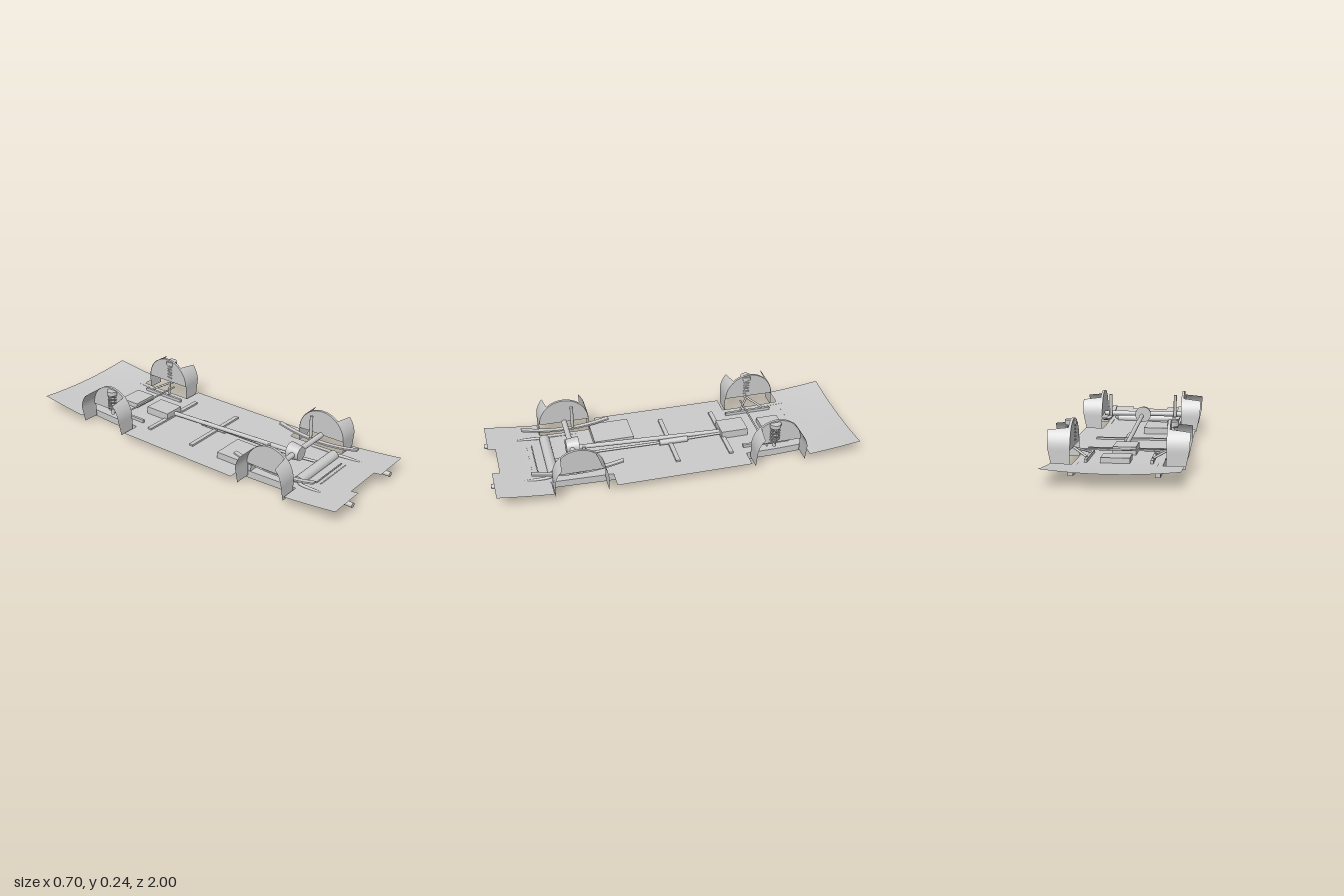
import * as THREE from 'three';

const mat = new THREE.MeshStandardMaterial({ color: 0xcccccc });
const sheet = new THREE.MeshStandardMaterial({ color: 0xcccccc, side: THREE.DoubleSide });
const V = (x, y, z) => new THREE.Vector3(x, y, z);

export function createModel() {
  const root = new THREE.Group();
  const add = (name, geo, m = mat) => {
    const mesh = new THREE.Mesh(geo, m);
    mesh.name = name;
    root.add(mesh);
    return mesh;
  };
  // box given by its limits on each axis
  const box = (name, x0, x1, y0, y1, z0, z1) =>
    add(name, new THREE.BoxGeometry(x1 - x0, y1 - y0, z1 - z0))
      .position.set((x0 + x1) / 2, (y0 + y1) / 2, (z0 + z1) / 2);
  // round bar between two points
  const rod = (name, a, b, r0, r1 = r0, n = 20) => {
    const d = b.clone().sub(a);
    const mesh = add(name, new THREE.CylinderGeometry(r1, r0, d.length(), n));
    mesh.position.copy(a).add(b).multiplyScalar(0.5);
    mesh.quaternion.setFromUnitVectors(V(0, 1, 0), d.normalize());
  };
  const pipe = (name, pts, r) =>
    add(name, new THREE.TubeGeometry(new THREE.CatmullRomCurve3(pts, false, 'centripetal'), 32, r, 12), sheet);
  // side profile of [z, y] points, extruded across x
  const profile = (name, pts, x, w) => {
    const s = new THREE.Shape(pts.map(([z, y]) => new THREE.Vector2(-z, y)));
    const g = new THREE.ExtrudeGeometry(s, { depth: w, bevelEnabled: false });
    g.translate(0, 0, -w / 2).rotateY(Math.PI / 2);
    add(name, g).position.x = x;
  };

  // floor pan: flat middle, ends sweeping up, bowed at the -z end
  const floorY = (x, z) => {
    const t = Math.max(0, (Math.abs(z) - 0.6) / 0.4);
    const bow = z < 0 ? 0.018 * t * (1 - (x / 0.325) ** 2) : 0;
    return 0.043 + 0.039 * t ** 1.4 - bow;
  };
  const W = 0.325, N = 0.22;
  const panels = [
    [-W, W, -1, -0.71], [-N, N, -0.71, -0.38], [-W, W, -0.38, 0.36],
    [-N, N, 0.36, 0.69], [-W, W, 0.69, 0.945],
    [-W, -0.11, 0.945, 0.985], [0.11, W, 0.945, 0.985],
  ];
  for (const [x0, x1, z0, z1] of panels) {
    const g = new THREE.PlaneGeometry(x1 - x0, z1 - z0, 12, 10).rotateX(-Math.PI / 2);
    g.translate((x0 + x1) / 2, 0, (z0 + z1) / 2);
    const p = g.attributes.position;
    for (let i = 0; i < p.count; i++) p.setY(i, floorY(p.getX(i), p.getZ(i)));
    g.computeVertexNormals();
    add('floorPan', g, sheet);
  }
  for (const z of [0.745, 0.77]) box('floorRib', -0.12, 0.12, 0.048, 0.058, z, z + 0.006);

  // cross members, tank, gearbox, oil pan
  for (const z of [-0.3, 0]) box('crossMember', -0.205, 0.205, 0.032, 0.053, z - 0.012, z + 0.012);
  box('fuelTank', -0.218, -0.038, 0.034, 0.078, 0.19, 0.41);
  box('gearbox', -0.063, 0.057, 0.035, 0.085, -0.44, -0.29);
  box('oilPan', -0.055, 0.09, 0.035, 0.07, -0.65, -0.53);

  // live axle, differential, drive shaft
  rod('axleTube', V(-0.235, 0.105, 0.545), V(0.235, 0.105, 0.545), 0.015);
  rod('differential', V(0, 0.105, 0.505), V(0, 0.105, 0.575), 0.047, 0.038, 32);
  rod('driveShaft', V(0.008, 0.095, 0.51), V(0.008, 0.06, -0.3), 0.012);

  // exhaust system
  rod('resonator', V(0.025, 0.056, -0.1), V(0.025, 0.056, 0.06), 0.016);
  pipe('exhaustPipe', [V(0.02, 0.056, -0.3), V(0.025, 0.056, 0.05), V(0.025, 0.06, 0.4),
    V(0.03, 0.062, 0.54), V(0.05, 0.06, 0.65)], 0.007);
  rod('muffler', V(-0.17, 0.055, 0.67), V(0.17, 0.055, 0.67), 0.028, 0.028, 32);

  // spring steel arc used for the leaf springs
  const leaf = [];
  const leafY = (k) => 0.083 + 0.032 * k * k;
  for (let i = 0; i <= 12; i++) leaf.push([0.3 + i * 0.0408, leafY(i / 6 - 1)]);
  for (let i = 12; i >= 0; i--) leaf.push([0.3 + i * 0.0408, leafY(i / 6 - 1) - 0.009]);

  for (const s of [-1, 1]) {
    profile('chassisRail', [[0.86, 0.016], [0.4, 0], [-0.55, 0], [-0.83, 0.015],
      [-0.83, 0.052], [-0.55, 0.041], [0.4, 0.041], [0.86, 0.053]], s * 0.207, 0.026);
    profile('leafSpring', leaf, s * 0.207, 0.026);
    rod('rearShock', V(s * 0.194, 0.095, 0.505), V(s * 0.194, 0.225, 0.505), 0.009);
    pipe('tailPipe', [V(s * 0.165, 0.055, 0.67), V(s * 0.182, 0.055, 0.69),
      V(s * 0.188, 0.055, 0.74), V(s * 0.185, 0.052, 0.97)], 0.008);
    rod('tailPipeTip', V(s * 0.184, 0.052, 0.94), V(s * 0.184, 0.052, 1), 0.013);

    // independent suspension
    box('subframeRail', s * 0.163 - 0.007, s * 0.163 + 0.007, 0.035, 0.06, -0.645, -0.38);
    for (const z of [-0.6, -0.47])
      rod('controlArm', V(s * 0.165, 0.062, z), V(s * 0.24, 0.095, -0.53), 0.006, 0.006, 10);
    rod('springMount', V(s * 0.255, 0.213, -0.525), V(s * 0.255, 0.236, -0.525), 0.03, 0.03, 28);
    rod('strut', V(s * 0.255, 0.09, -0.525), V(s * 0.255, 0.215, -0.525), 0.01);
    const coil = [];
    for (let i = 0; i <= 80; i++) {
      const a = (i / 80) * Math.PI * 10;
      coil.push(V(s * 0.255 + 0.023 * Math.cos(a), 0.125 + 0.09 * i / 80, -0.525 + 0.023 * Math.sin(a)));
    }
    add('coilSpring', new THREE.TubeGeometry(new THREE.CatmullRomCurve3(coil), 160, 0.004, 8));

    // wheel housings: half disc inside, a curved flap ahead and behind
    for (const c of [0.545, -0.54]) {
      const disc = new THREE.Shape();
      disc.absarc(0, 0, 0.138, 0, Math.PI);
      const g = new THREE.ExtrudeGeometry(disc, { depth: 0.014, bevelEnabled: false, curveSegments: 28 });
      g.translate(0, 0, -0.007).rotateY(Math.PI / 2);
      add('wheelHouseInner', g).position.set(s * 0.242, 0.107, c);
      for (const e of [-1, 1]) {
        const flap = new THREE.PlaneGeometry(1, 1, 6, 16);
        const p = flap.attributes.position;
        for (let i = 0; i < p.count; i++) {
          const u = p.getX(i) + 0.5, v = 0.5 - p.getY(i);
          const a = Math.max(0, 1 - v / 0.7) * (0.87 - 0.13 * u);
          const y = 0.107 + 0.14 * Math.sin(a) - Math.max(0, v - 0.7) / 0.3 * 0.082;
          const outer = y > 0.12 ? 0.347 + 0.04 * (y - 0.12) : 0.347 - 0.21 * (0.12 - y);
          p.setXYZ(i, s * (0.235 + (outer - 0.235) * u), y, c + e * 0.14 * Math.cos(a));
        }
        // keep the winding facing away from the wheel
        if (s * e < 0) {
          const ix = flap.index.array;
          for (let i = 0; i < ix.length; i += 3) [ix[i], ix[i + 1]] = [ix[i + 1], ix[i]];
        }
        flap.computeVertexNormals();
        add('wheelHouseFlap', flap, sheet);
      }
    }
  }
  rod('steeringRack', V(-0.235, 0.08, -0.492), V(0.235, 0.08, -0.492), 0.005, 0.005, 10);
  return root;
}
